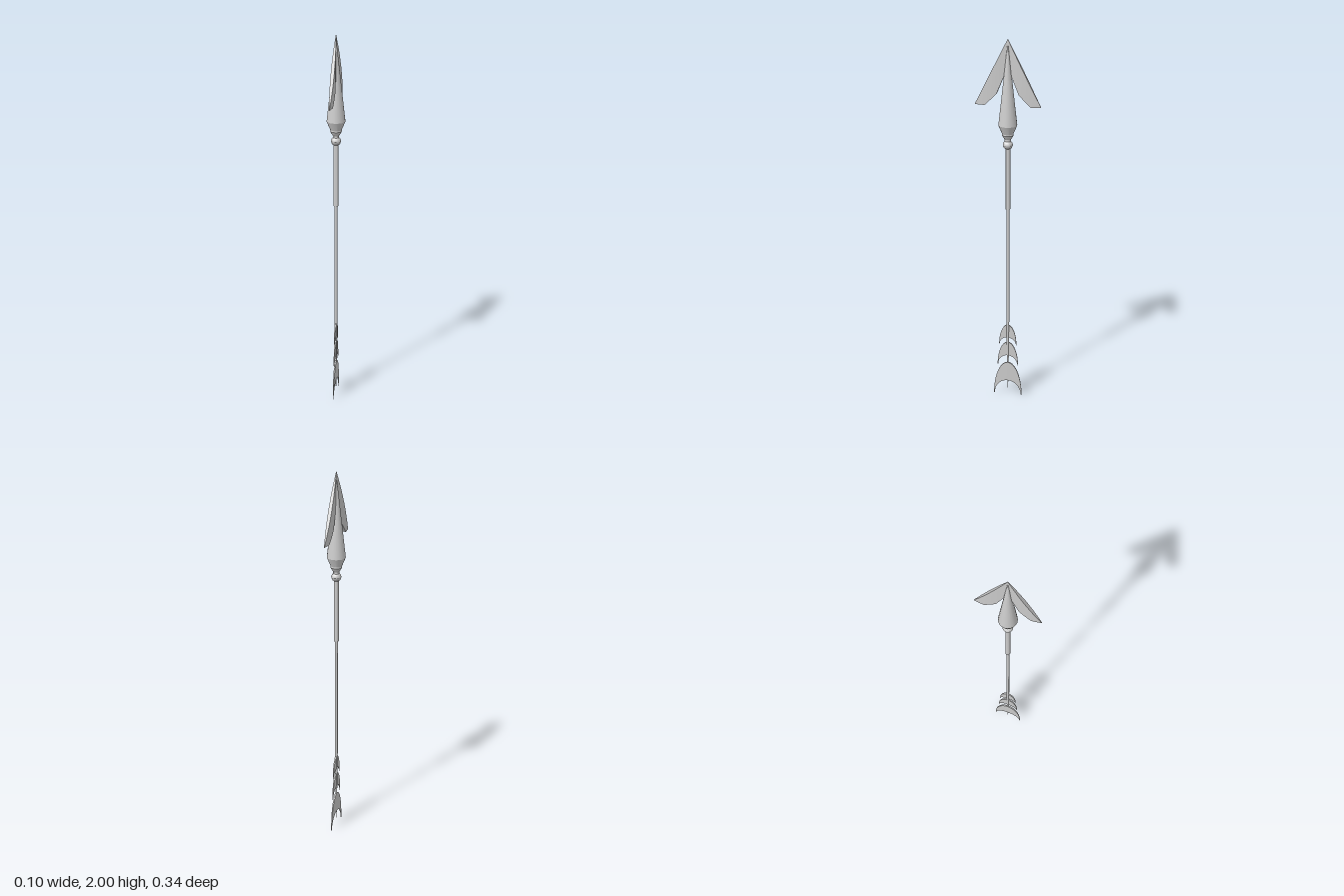
import * as THREE from 'three';
import { toCreasedNormals } from 'three/addons/utils/BufferGeometryUtils.js';

const material = new THREE.MeshStandardMaterial({ color: 0xcccccc });

function addPart(group, name, geometry, crease = 0.5) {
  const mesh = new THREE.Mesh(toCreasedNormals(geometry, crease), material);
  mesh.name = name;
  group.add(mesh);
}

const lathe = (profile, sides) =>
  new THREE.LatheGeometry(profile.map(([r, y]) => new THREE.Vector2(r, y)), sides);

// Thin solid in the YZ plane, mirrored about z = 0.
// Each half section is [outer z, outer y, inner z, inner y, half thickness].
function mirroredPlate(half) {
  const mirror = half.slice(1).reverse().map(([zo, yo, zi, yi, w]) => [-zo, yo, -zi, yi, w]);
  const sections = [...mirror, ...half];
  const positions = [];
  const index = [];
  sections.forEach(([zo, yo, zi, yi, w], i) => {
    positions.push(w, yo, zo, -w, yo, zo, -w, yi, zi, w, yi, zi);
    if (i === sections.length - 1) return;
    for (let k = 0; k < 4; k++) {
      const a = i * 4 + k;
      const b = i * 4 + ((k + 1) % 4);
      index.push(a, b, a + 4, b, b + 4, a + 4);
    }
  });
  const e = (sections.length - 1) * 4;
  index.push(0, 3, 2, 0, 2, 1, e, e + 1, e + 2, e, e + 2, e + 3);
  const geometry = new THREE.BufferGeometry();
  geometry.setAttribute('position', new THREE.Float32BufferAttribute(positions, 3));
  geometry.setIndex(index);
  return geometry;
}

// Crescent fletching: an outer and an inner quarter ellipse meeting near the tip
function crescent(top, innerTop, tip, width) {
  const steps = 10;
  const half = [];
  for (let i = 0; i <= steps; i++) {
    const a = (i / steps) * Math.PI / 2;
    const s = Math.sin(a);
    const c = Math.cos(a);
    half.push([
      width * s, tip + (top - tip) * c,
      width * 0.95 * s, tip + (innerTop - tip) * c,
      0.001 + 0.003 * c,
    ]);
  }
  return mirroredPlate(half);
}

export function createModel() {
  const group = new THREE.Group();
  group.name = 'arrow';

  // Conical point
  addPart(group, 'headCone', lathe([[0.048, 1.56], [0, 1.99]], 20));

  // Turned collar below the point
  addPart(group, 'collar', lathe([
    [0.012, 1.435], [0.02, 1.44], [0.026, 1.455], [0.024, 1.465], [0.016, 1.475],
    [0.016, 1.485], [0.026, 1.5], [0.03, 1.508], [0.029, 1.515], [0.048, 1.56],
  ], 20));

  // Swept barbs, lens-shaped in plan
  addPart(group, 'barbs', mirroredPlate([
    [0, 2.0, 0, 1.86, 0.001],
    [0.028, 1.944, 0.028, 1.79, 0.005],
    [0.057, 1.886, 0.057, 1.72, 0.008],
    [0.088, 1.824, 0.088, 1.689, 0.009],
    [0.118, 1.764, 0.118, 1.66, 0.008],
    [0.145, 1.71, 0.145, 1.66, 0.005],
    [0.17, 1.662, 0.17, 1.66, 0.001],
  ]));

  // Thick grip section and slender tapering shaft
  addPart(group, 'upperShaft', lathe([[0, 1.105], [0.013, 1.105], [0.013, 1.44]], 12), 0.7);
  addPart(group, 'lowerShaft', lathe([
    [0, 0.04], [0.002, 0.04], [0.004, 0.19], [0.006, 0.25], [0.008, 0.45], [0.008, 1.11],
  ], 12), 0.7);

  // Three crescents growing towards the tail: top, inner top, tip, half width
  [
    [0.43, 0.355, 0.31, 0.048],
    [0.325, 0.245, 0.185, 0.057],
    [0.2, 0.088, 0.0, 0.078],
  ].forEach((size, i) => addPart(group, `fletching${i + 1}`, crescent(...size)));

  return group;
}
